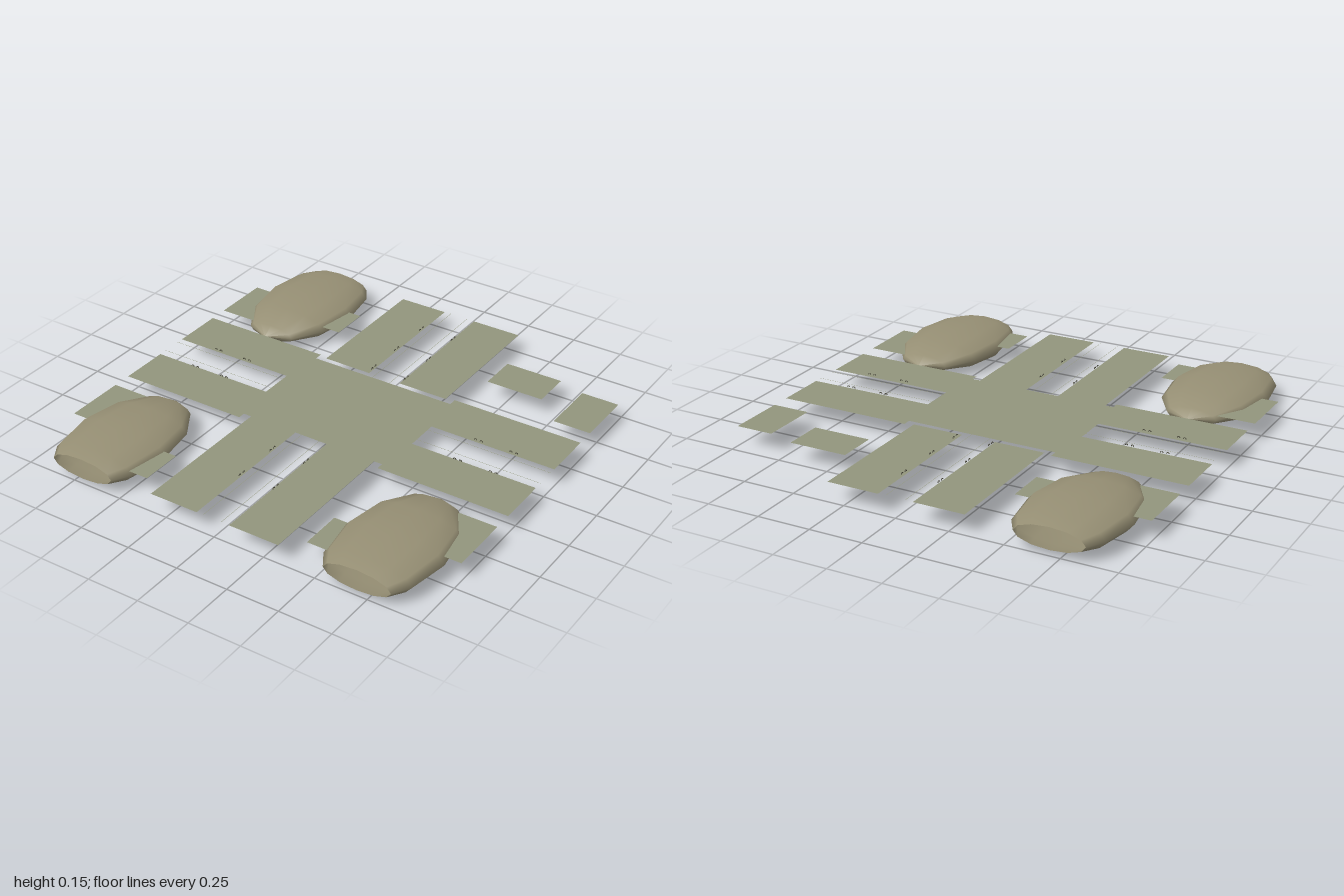
import * as THREE from 'three';

const TILE_Y = 0.1;
const paving = new THREE.MeshStandardMaterial({ color: 0x92957c, side: THREE.DoubleSide });
const shell = new THREE.MeshStandardMaterial({ color: 0x968f74, side: THREE.DoubleSide });
const dark = new THREE.MeshStandardMaterial({ color: 0x4c4b3c });

export function createModel() {
  const root = new THREE.Group();

  function add(name, geometry, material, x, y, z) {
    const mesh = new THREE.Mesh(geometry, material);
    mesh.name = name;
    mesh.position.set(x, y, z);
    root.add(mesh);
    return mesh;
  }

  // Flat sheet between two corners in plan
  function sheet(name, x0, x1, z0, z1, y = TILE_Y) {
    const g = new THREE.PlaneGeometry(x1 - x0, z1 - z0).rotateX(-Math.PI / 2);
    return add(name, g, paving, (x0 + x1) / 2, y, (z0 + z1) / 2);
  }

  // Crossing: one cross-shaped sheet with a wider waist
  const half = [[0.365, -0.29], [0.365, -0.085], [0.39, -0.085], [0.39, 0.08], [0.365, 0.08], [0.365, 0.285]];
  const outline = [...half, ...half.map(([x, z]) => [-x, z]).reverse()];
  const crossing = new THREE.Shape(outline.map(([x, z]) => new THREE.Vector2(x, -z)));
  add('crossing', new THREE.ShapeGeometry(crossing).rotateX(-Math.PI / 2), paving, 0, TILE_Y, 0);

  // Four arms, each a pair of lanes either side of an open median
  for (const s of [-1, 1]) {
    const x0 = s < 0 ? -1 : 0.365, x1 = s < 0 ? -0.365 : 1;
    sheet('sideLane', x0, x1, -0.33, -0.085);
    sheet('sideLane', x0, x1, 0.08, 0.32);
    const l0 = s < 0 ? -0.325 : 0.08, l1 = s < 0 ? -0.085 : 0.325;
    sheet('frontLane', l0, l1, 0.285, 1);
    sheet('backLane', l0, l1, -1, -0.315);

    // Small lots in the corners
    const a = s < 0 ? -1 : 0.82, b = s < 0 ? -0.82 : 1;
    sheet('outerLot', a, b, 0.41, 0.7);
    sheet('outerLot', a, b, -0.7, -0.42);
    const c = s < 0 ? -0.69 : 0.41, d = s < 0 ? -0.41 : 0.69;
    sheet('innerLot', c, d, 0.72, 0.92);
    sheet('innerLot', c, d, -0.74, -0.55);
  }

  // Hairline rails along both medians
  for (const p of [-0.05, 0.042]) {
    sheet('medianRail', p - 0.001, p + 0.001, -1, 1, TILE_Y + 0.002);
    sheet('medianRail', -1, 1, p - 0.001, p + 0.001, TILE_Y + 0.002);
  }

  // Short marking bars at the centre
  for (const s of [-1, 1]) {
    for (let i = 0; i < 7; i++) {
      const z = -0.02 + i * 0.013;
      sheet('markingBar', s * 0.067 - 0.012, s * 0.067 + 0.012, z - 0.002, z + 0.002, TILE_Y + 0.002);
    }
  }

  // Low mounds, cut off open at the outer border
  const profile = [];
  for (let i = 0; i <= 4; i++) {
    const t = i * Math.PI / 6;
    profile.push(new THREE.Vector2(Math.sin(t), -0.385 * Math.cos(t)));
  }
  profile.push(new THREE.Vector2(0.665, 0.27));
  const moundGeometry = new THREE.LatheGeometry(profile, 12)
    .rotateX(Math.PI / 2).scale(0.24, 0.075, 1);
  for (const [x, z] of [[-0.7, 0.73], [0.7, 0.73], [-0.7, -0.73]]) {
    const mound = add('mound', moundGeometry, shell, x, 0.083, z);
    if (z < 0) mound.rotation.y = Math.PI;
  }

  // Tiny arched posts along the inner lane edges, set in pairs
  const arch = new THREE.TorusGeometry(0.006, 0.002, 5, 8, Math.PI);
  for (const s of [-1, 1]) {
    for (const z of [-0.785, -0.56, -0.36, 0.455, 0.68]) {
      for (const o of [-0.014, 0.014]) {
        add('post', arch, dark, s * 0.088, 0.107, z + o).rotation.y = Math.PI / 2;
      }
    }
    for (const x of [-0.785, -0.62, 0.625, 0.8]) {
      for (const o of [-0.014, 0.014]) add('post', arch, dark, x + o, 0.107, s * 0.09);
    }
  }

  return root;
}
